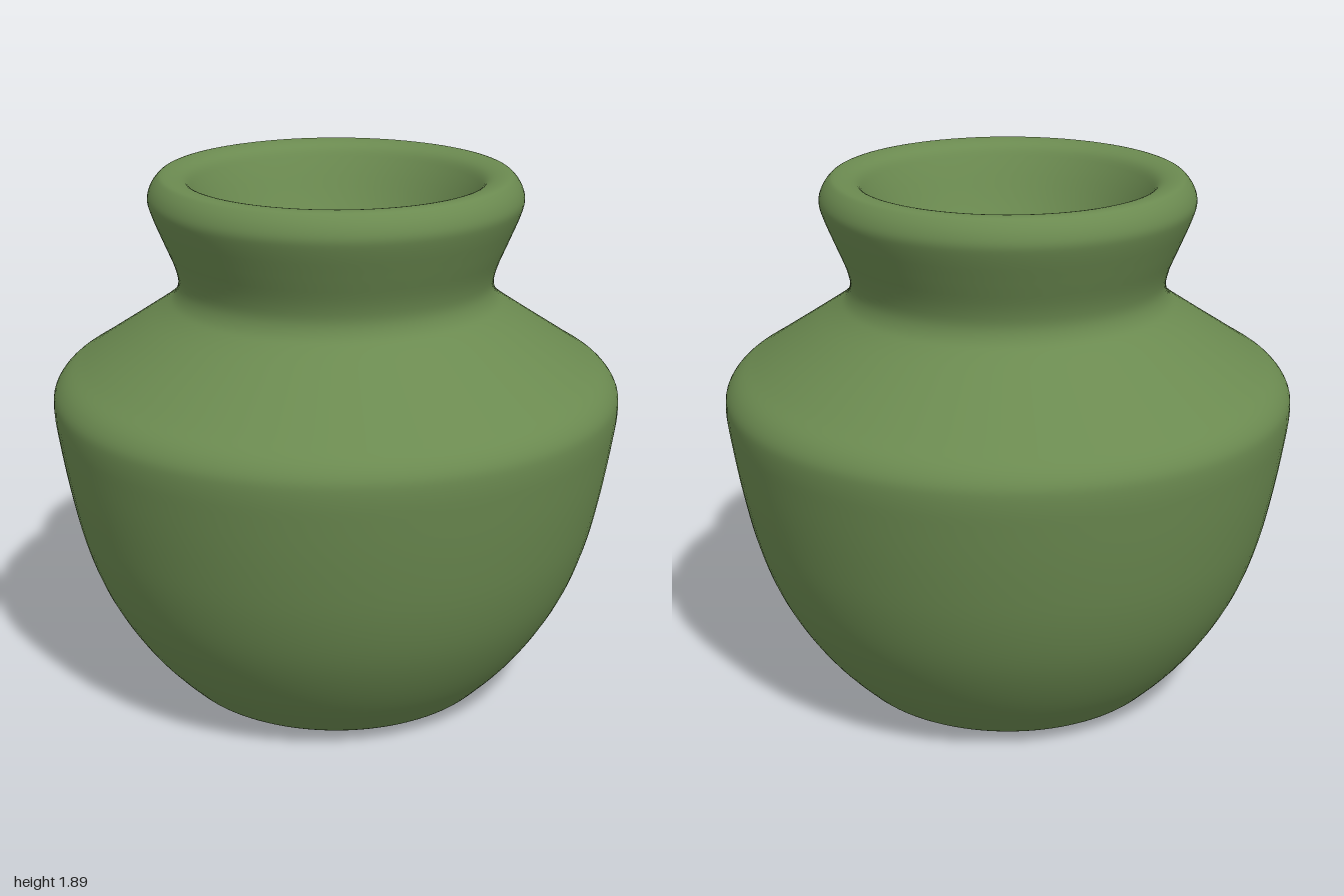
import * as THREE from 'three';

// Smooth [radius, height] profile through a few control points
function smoothProfile(points, samples) {
  const curve = new THREE.CatmullRomCurve3(
    points.map(([r, y]) => new THREE.Vector3(r, y, 0)), false, 'centripetal');
  return curve.getPoints(samples).map(p => new THREE.Vector2(Math.max(p.x, 0), Math.max(p.y, 0)));
}

export function createModel() {
  const group = new THREE.Group();
  group.name = 'vase';

  // Outside: base, rounded belly, shoulder, waisted neck, flared lip
  const outside = [
    [0, 0], [0.3, 0.001], [0.49, 0.012], [0.555, 0.035], [0.6, 0.075], [0.7, 0.185],
    [0.79, 0.315], [0.86, 0.45], [0.915, 0.61], [0.955, 0.79], [0.985, 0.97],
    [0.998, 1.08], [0.993, 1.135], [0.96, 1.185], [0.88, 1.24], [0.7, 1.36],
    [0.6, 1.43], [0.565, 1.465], [0.55, 1.51], [0.56, 1.57], [0.6, 1.67],
    [0.64, 1.77], [0.649, 1.81], [0.64, 1.845], [0.62, 1.875], [0.6, 1.89],
  ];

  // Inside: rolled rim, funnel to a narrow throat, then the hollow belly
  const inside = [
    [0.55, 1.888], [0.515, 1.87], [0.485, 1.82], [0.42, 1.68], [0.35, 1.55],
    [0.317, 1.49], [0.31, 1.45], [0.33, 1.39], [0.42, 1.3], [0.6, 1.18],
    [0.74, 1.085], [0.78, 1.03], [0.76, 0.85], [0.7, 0.62], [0.6, 0.43],
    [0.48, 0.27], [0.4, 0.215], [0.3, 0.2], [0, 0.2],
  ];

  const material = new THREE.MeshStandardMaterial({ color: 0x6b8a50 });
  const body = new THREE.Mesh(
    new THREE.LatheGeometry(smoothProfile([...outside, ...inside], 180), 96), material);
  body.name = 'vaseBody';
  group.add(body);
  return group;
}
